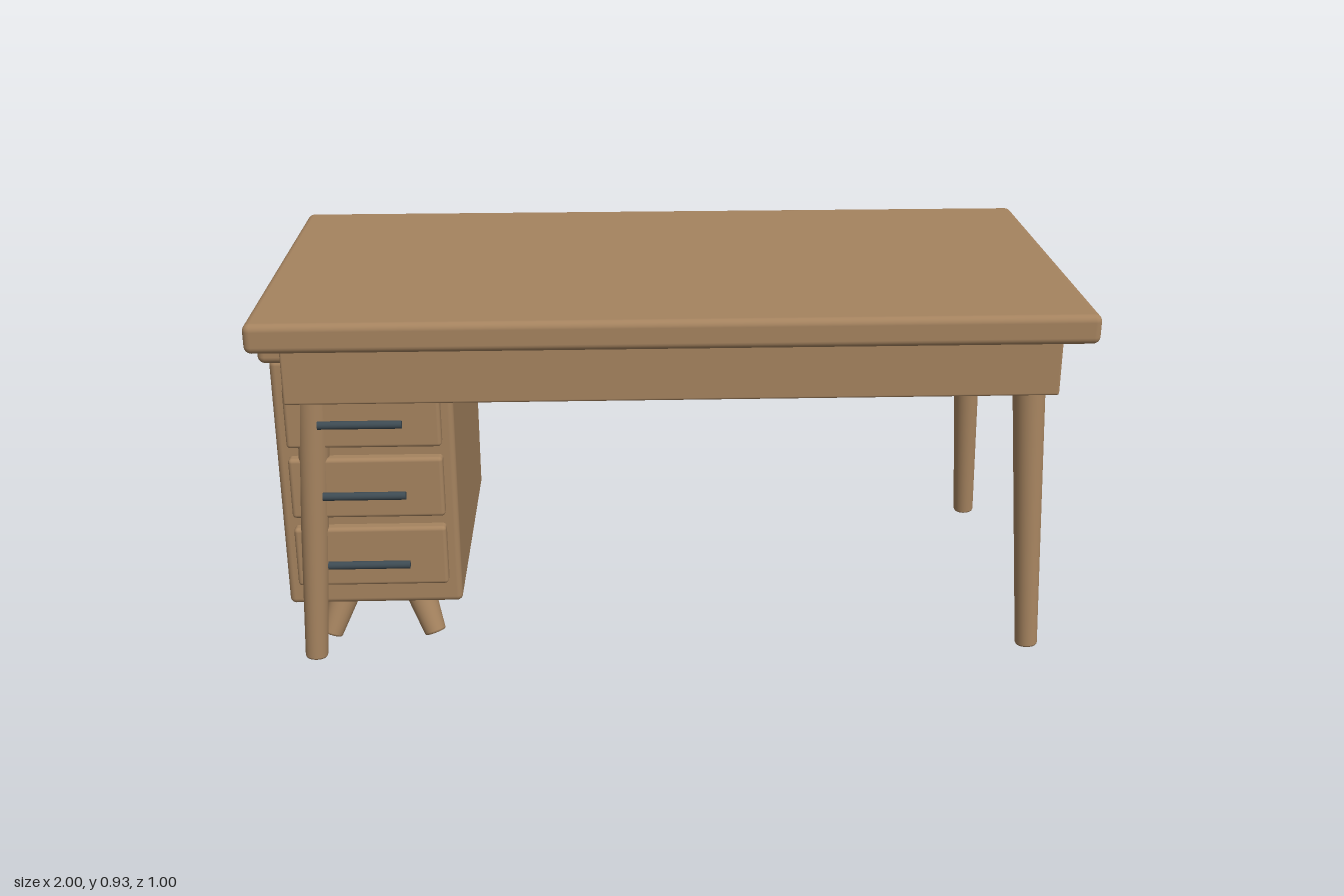
import * as THREE from 'three';
import { RoundedBoxGeometry } from 'three/addons/geometries/RoundedBoxGeometry.js';

const wood = new THREE.MeshStandardMaterial({ color: 0xa5835f });
wood.name = 'wood';
const darkMetal = new THREE.MeshStandardMaterial({ color: 0x3d4a52 });
darkMetal.name = 'dark metal';

// Rounded board given by its min and max corners
function board(name, min, max, radius) {
  const size = max.map((v, i) => v - min[i]);
  const mesh = new THREE.Mesh(new RoundedBoxGeometry(...size, 3, radius), wood);
  mesh.position.set(...max.map((v, i) => (v + min[i]) / 2));
  mesh.name = name;
  return mesh;
}

// Tapered round peg from a bottom point to a top point, with softened rims
function peg(name, bottom, top, rBottom, rTop) {
  const a = new THREE.Vector3(...bottom), b = new THREE.Vector3(...top);
  const axis = b.clone().sub(a), h = axis.length(), e = 0.005;
  const rings = [
    [[0, 0], [rBottom - e, 0]],
    [[rBottom - e, 0], [rBottom - e * 0.3, e * 0.3], [rBottom, e]],
    [[rBottom, e], [rTop, h - e]],
    [[rTop, h - e], [rTop - e * 0.3, h - e * 0.3], [rTop - e, h]],
    [[rTop - e, h], [0, h]],
  ];
  const group = new THREE.Group();
  for (const ring of rings) {
    const points = ring.map(([r, y]) => new THREE.Vector2(r, y));
    group.add(new THREE.Mesh(new THREE.LatheGeometry(points, 28), wood));
  }
  group.children.forEach((m) => { m.name = name + 'Surface'; });
  group.position.copy(a);
  group.quaternion.setFromUnitVectors(new THREE.Vector3(0, 1, 0), axis.normalize());
  group.name = name;
  return group;
}

export function createModel() {
  const desk = new THREE.Group();
  desk.name = 'desk';

  // Top and the long rails below it
  desk.add(board('tabletop', [-1, 0.857, -0.5], [1, 0.93, 0.5], 0.018));
  desk.add(board('frontRail', [-0.935, 0.7, 0.362], [0.935, 0.857, 0.415], 0.006));
  desk.add(board('backRail', [-0.935, 0.7, -0.415], [0.935, 0.857, -0.362], 0.006));

  // Drawer cabinet
  const cabinet = new THREE.Group();
  cabinet.name = 'cabinet';
  const cx = -0.7525;
  cabinet.add(board('cabinetBody', [-0.97, 0.145, -0.375], [-0.535, 0.8, 0.375], 0.015));
  cabinet.add(board('cabinetTop', [-0.992, 0.797, -0.397], [-0.513, 0.85, 0.397], 0.018));

  // Drawer fronts with bar handles
  for (const y of [0.288, 0.474, 0.66]) {
    cabinet.add(board('drawerFront', [-0.94, y - 0.079, 0.36], [-0.565, y + 0.079, 0.402], 0.01));
    const handle = new THREE.Mesh(new THREE.CylinderGeometry(0.01, 0.01, 0.2, 20), darkMetal);
    handle.rotation.z = Math.PI / 2;
    handle.position.set(cx, y, 0.446);
    handle.name = 'drawerHandle';
    cabinet.add(handle);
  }
  desk.add(cabinet);

  // Splayed desk legs and cabinet feet, one at each corner
  for (const sx of [-1, 1]) {
    for (const sz of [-1, 1]) {
      desk.add(peg('deskLeg', [sx * 0.907, 0.017, sz * 0.412],
        [sx * 0.862, 0.857, sz * 0.364], 0.028, 0.042));
      cabinet.add(peg('cabinetFoot', [cx + sx * 0.135, 0.0125, sz * 0.289],
        [cx + sx * 0.084, 0.15, sz * 0.238], 0.028, 0.042));
    }
  }
  return desk;
}
